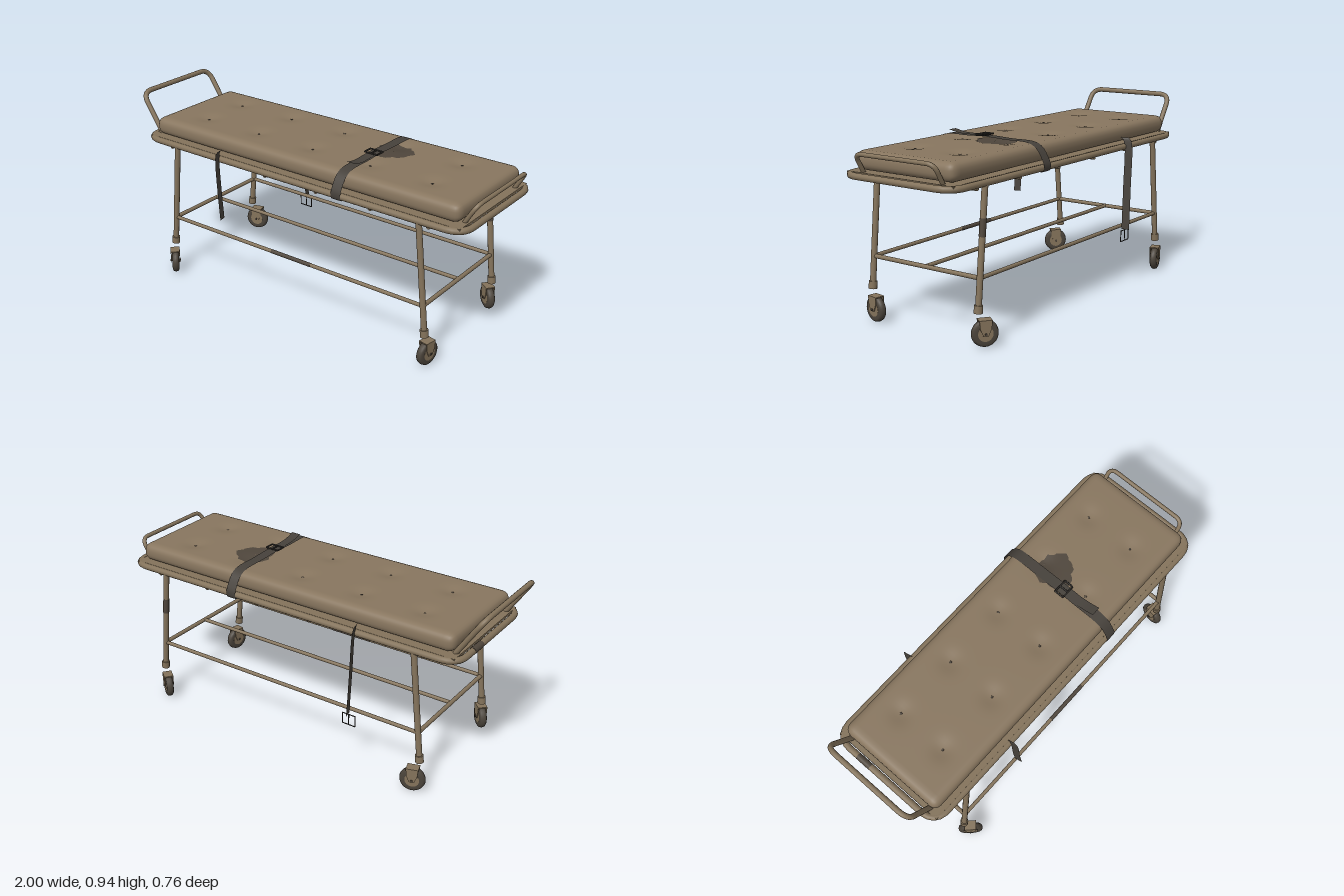
import * as THREE from 'three';
import { mergeVertices } from 'three/addons/utils/BufferGeometryUtils.js';

const V = (x, y, z) => new THREE.Vector3(x, y, z);
const mat = (name, color, side = THREE.FrontSide) => {
  const m = new THREE.MeshStandardMaterial({ color, side });
  m.name = name;
  return m;
};

export function createModel() {
  const root = new THREE.Group();
  root.name = 'stretcherTrolley';
  const metal = mat('tanMetal', 0x84735b);
  const fabric = mat('tanPadding', 0x88765f);
  const strapMat = mat('darkWebbing', 0x46413b, THREE.DoubleSide);
  const rubber = mat('darkRubber', 0x4b443b);
  const black = mat('buckleBlack', 0x2b2825);
  const grime = mat('grime', 0x4f463c, THREE.DoubleSide);

  const add = (name, geo, m, parent = root) => {
    const mesh = new THREE.Mesh(geo, m);
    mesh.name = name;
    parent.add(mesh);
    return mesh;
  };
  // Straight rod between two points
  const rod = (name, a, b, r, m = metal, parent = root) => {
    const d = b.clone().sub(a);
    const mesh = add(name, new THREE.CylinderGeometry(r, r, d.length(), 16), m, parent);
    mesh.position.copy(a).add(b).multiplyScalar(0.5);
    mesh.quaternion.setFromUnitVectors(V(0, 1, 0), d.normalize());
    return mesh;
  };
  // Bent tube with rounded corners
  const bentTube = (name, pts, corner, r, closed = false) => {
    const path = new THREE.CurvePath();
    const n = pts.length;
    const toward = (a, b) => a.clone().add(b.clone().sub(a).setLength(corner));
    let last = closed ? toward(pts[0], pts[1]) : pts[0];
    for (let i = 1; i < (closed ? n + 1 : n - 1); i++) {
      const p = pts[i % n];
      const start = toward(p, pts[(i - 1) % n]);
      const end = toward(p, pts[(i + 1) % n]);
      path.add(new THREE.LineCurve3(last, start));
      path.add(new THREE.QuadraticBezierCurve3(start, p, end));
      last = end;
    }
    if (!closed) path.add(new THREE.LineCurve3(last, pts[n - 1]));
    return add(name, new THREE.TubeGeometry(path, 180, r, 12, closed), metal);
  };
  // Flat webbing swept along a curve
  const ribbon = (name, pts, half) => {
    const curve = new THREE.CatmullRomCurve3(pts, false, 'centripetal');
    const pos = [], idx = [], n = 48;
    for (let i = 0; i <= n; i++) {
      const p = curve.getPoint(i / n);
      pos.push(...p.clone().sub(half).toArray(), ...p.clone().add(half).toArray());
      if (i < n) idx.push(2 * i, 2 * i + 1, 2 * i + 2, 2 * i + 1, 2 * i + 3, 2 * i + 2);
    }
    const g = new THREE.BufferGeometry();
    g.setAttribute('position', new THREE.Float32BufferAttribute(pos, 3));
    g.setIndex(idx);
    g.computeVertexNormals();
    return add(name, g, strapMat);
  };

  // Upper frame, deck and under-deck crossbars
  const zf = 0.302, zb = -0.322;
  bentTube('upperFrame', [V(-0.904, 0.721, zb), V(-0.904, 0.721, zf), V(0.974, 0.721, zf), V(0.974, 0.721, zb)], 0.09, 0.016, true);
  add('deck', new THREE.BoxGeometry(1.84, 0.012, 0.61), metal).position.set(0.035, 0.73, -0.01);
  for (let i = 0; i < 6; i++) {
    const x = -0.735 + i * 0.307;
    rod('deckCrossbar', V(x, 0.704, zf - 0.005), V(x, 0.704, zb + 0.005), 0.012);
  }

  // End handles
  bentTube('pushHandle', [V(-0.86, 0.735, 0.237), V(-0.987, 0.926, 0.237), V(-0.987, 0.926, -0.257), V(-0.86, 0.735, -0.257)], 0.06, 0.013);
  bentTube('footHandle', [V(0.93, 0.73, 0.215), V(0.986, 0.825, 0.215), V(0.986, 0.825, -0.24), V(0.93, 0.73, -0.24)], 0.045, 0.0105);

  // Mattress with rounded edges and tufted dimples
  const tufts = [];
  for (let i = 0; i < 5; i++) for (const z of [-0.145, 0.115]) tufts.push([-0.64 + i * 0.336, z]);
  const sag = (x, z) => tufts.reduce((s, [tx, tz]) => s - 0.011 * Math.exp(-((x - tx) ** 2 + (z - tz) ** 2) / 0.0025), 0);
  const cx = 0.035, cz = -0.01, bottom = 0.738, H = 0.09, r = 0.038;
  let pad = new THREE.BoxGeometry(1.8, H, 0.57, 100, 8, 36);
  pad.deleteAttribute('uv');
  pad.deleteAttribute('normal');
  pad = mergeVertices(pad);
  const pp = pad.attributes.position, v = V(0, 0, 0), core = V(0, 0, 0);
  for (let i = 0; i < pp.count; i++) {
    v.fromBufferAttribute(pp, i);
    core.copy(v).clamp(V(-0.9 + r, -H / 2 + r, -0.285 + r), V(0.9 - r, H / 2 - r, 0.285 - r));
    v.sub(core).setLength(r).add(core);
    const top = Math.max(0, v.y / (H / 2));
    pp.setXYZ(i, v.x + cx, v.y + bottom + H / 2 + top * sag(v.x + cx, v.z + cz), v.z + cz);
  }
  pad.computeVertexNormals();
  add('mattress', pad, fabric);
  const topY = (x, z) => bottom + H + sag(x, z);
  for (const [x, z] of tufts) {
    const b = add('tuftButton', new THREE.SphereGeometry(0.006, 10, 6), grime);
    b.scale.y = 0.4;
    b.position.set(x, topY(x, z) + 0.001, z);
  }

  // Stain lying on the padding
  const stain = new THREE.RingGeometry(0.001, 0.092, 40, 8);
  const sp = stain.attributes.position;
  for (let i = 0; i < sp.count; i++) {
    const a = Math.atan2(sp.getY(i), sp.getX(i));
    const k = 1 + 0.08 * Math.sin(3 * a + 1) + 0.06 * Math.sin(7 * a) + 0.04 * Math.sin(13 * a);
    const x = 0.37 + sp.getX(i) * k, z = -0.08 - sp.getY(i) * k;
    sp.setXYZ(i, x, topY(x, z) + 0.002, z);
  }
  stain.computeVertexNormals();
  add('stain', stain, grime);

  // Legs, feet and casters
  const legX = (side, y) => (side < 0 ? -0.69 : 0.755) + side * 0.1 * (0.715 - y);
  const tireProfile = [[0.034, -0.017], [0.05, -0.018], [0.059, -0.012], [0.0625, 0], [0.059, 0.012], [0.05, 0.018], [0.034, 0.017]]
    .map(([a, b]) => new THREE.Vector2(a, b));
  const forkShape = new THREE.Shape([[-0.029, 0.06], [-0.026, 0.025], [-0.012, -0.008], [0.012, -0.008], [0.026, 0.025], [0.029, 0.06]]
    .map(([a, b]) => new THREE.Vector2(a, b)));
  const caster = (x, z, dx, dz) => {
    const g = new THREE.Group();
    g.name = 'caster';
    add('tire', new THREE.LatheGeometry(tireProfile, 32), rubber, g).rotation.x = Math.PI / 2;
    add('hub', new THREE.CylinderGeometry(0.035, 0.035, 0.035, 24), metal, g).rotation.x = Math.PI / 2;
    add('axle', new THREE.CylinderGeometry(0.006, 0.006, 0.056, 10), grime, g).rotation.x = Math.PI / 2;
    for (const s of [-1, 1]) {
      const plate = new THREE.ExtrudeGeometry(forkShape, { depth: 0.004, bevelEnabled: false });
      add('forkPlate', plate, metal, g).position.z = s * 0.022 - 0.002;
    }
    add('forkTop', new THREE.BoxGeometry(0.06, 0.005, 0.048), metal, g).position.y = 0.061;
    g.position.set(x, 0.063, z);
    g.rotation.y = Math.atan2(-dz, dx);
    root.add(g);
  };
  for (const side of [-1, 1]) for (const z of [zf, zb]) {
    const at = y => V(legX(side, y), y, z);
    rod('leg', at(0.715), at(0.17), 0.0145);
    rod('legSocket', at(0.192), at(0.156), 0.02);
  }
  caster(-0.732, 0.328, 0.7, 0.7);
  caster(-0.722, -0.338, 0.95, -0.3);
  caster(0.815, 0.28, 0.17, -0.98);
  caster(0.786, -0.338, 0.8, 0.6);

  // Lower rails
  const x0 = legX(-1, 0.31), x1 = legX(1, 0.31);
  for (const z of [zf, -0.01, zb]) rod('lowerRail', V(x0, 0.31, z), V(x1, 0.31, z), 0.0095);
  for (const x of [x0, x1]) rod('lowerCrossbar', V(x, 0.31, zf), V(x, 0.31, zb), 0.0105);

  // Worn patches as thin sleeves
  rod('railGrime', V(-0.08, 0.31, zf), V(0.16, 0.31, zf), 0.0103, grime);
  rod('legGrime', V(legX(1, 0.57), 0.57, zb), V(legX(1, 0.49), 0.49, zb), 0.0155, grime);
  rod('frameGrime', V(-0.904, 0.721, -0.18), V(-0.904, 0.721, -0.1), 0.0167, grime);

  // Fastened strap over the mattress, with its loose tail and buckle
  const sx = 0.32;
  const across = [[0.29, 0.703], [0.315, 0.706], [0.321, 0.735], [0.308, 0.768], [0.28, 0.808], [0.24, 0.83], [0.1, 0.834], [0, 0.838],
    [-0.12, 0.834], [-0.26, 0.83], [-0.3, 0.808], [-0.328, 0.768], [-0.342, 0.735], [-0.337, 0.706], [-0.31, 0.703]];
  ribbon('bodyStrap', across.map(([z, y]) => V(sx, y, z)), V(0.027, 0, 0));
  ribbon('strapTail', [V(sx, 0.843, -0.01), V(sx, 0.84, 0.08), V(sx + 0.004, 0.842, 0.15), V(sx + 0.008, 0.854, 0.21)], V(0.024, 0, 0));
  const wireBuckle = (name, w, h, t) => {
    const g = new THREE.Group();
    g.name = name;
    for (const s of [-1, 1]) {
      rod('buckleSide', V(s * w, -h, 0), V(s * w, h, 0), t, black, g);
      rod('buckleEnd', V(-w, s * h, 0), V(w, s * h, 0), t, black, g);
    }
    rod('bucklePin', V(0, -h, 0), V(0, h, 0), t, black, g);
    root.add(g);
    return g;
  };
  const buckle = wireBuckle('strapBuckle', 0.036, 0.024, 0.004);
  buckle.position.set(sx, 0.845, 0.018);
  buckle.rotation.x = Math.PI / 2;

  // Unfastened strap halves hanging over both sides
  ribbon('frontHangingStrap', [V(-0.395, 0.768, 0.31), V(-0.394, 0.757, 0.325), V(-0.392, 0.72, 0.332), V(-0.382, 0.55, 0.335), V(-0.37, 0.415, 0.337)], V(0.004, 0, 0.019));
  ribbon('backHangingStrap', [V(-0.395, 0.768, -0.325), V(-0.394, 0.757, -0.34), V(-0.392, 0.72, -0.35), V(-0.382, 0.52, -0.352), V(-0.37, 0.295, -0.354)], V(0.004, 0, 0.02));
  wireBuckle('hangingBuckle', 0.036, 0.028, 0.0025).position.set(-0.372, 0.264, -0.348);

  return root;
}
